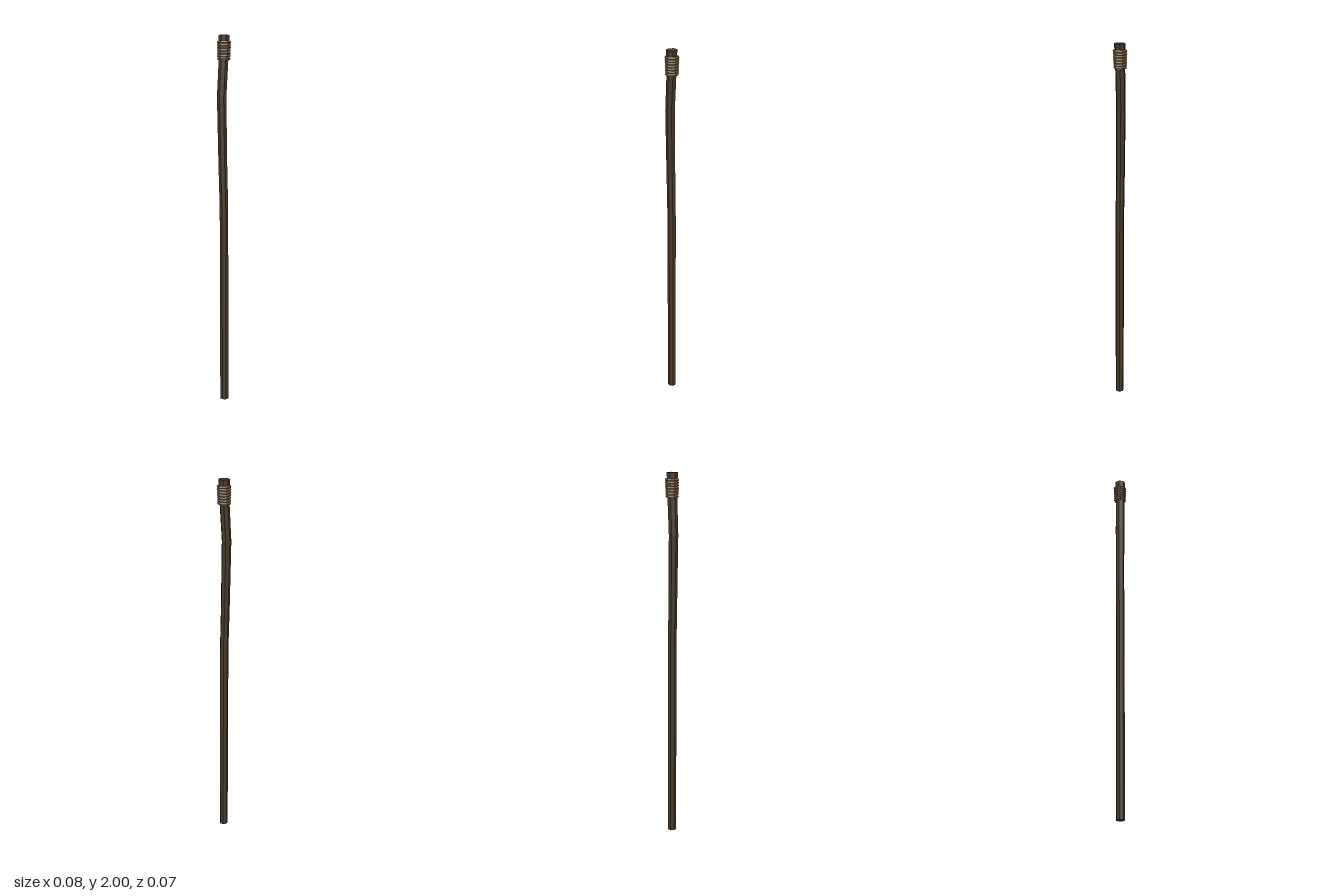
import * as THREE from 'three';

const wood = new THREE.MeshStandardMaterial({ color: 0x4a3829 });
wood.name = 'darkWood';
wood.flatShading = true;
const cord = new THREE.MeshStandardMaterial({ color: 0x8a6844 });
cord.name = 'cord';
cord.flatShading = true;

// Shaft cross-sections from the foot up: [y, centre x, centre z, radius]
const SECTIONS = [
  [0, 0.002, 0, 0.023],
  [0.55, 0.001, 0, 0.0235],
  [1.08, 0.0, 0, 0.0235],
  [1.32, -0.006, 0.001, 0.024],
  [1.68, -0.012, 0.003, 0.0255],
  [1.86, -0.003, 0, 0.026],
  [2, 0, 0, 0.03],
];

// A seven-sided cylinder whose rings follow the bent sections
function createShaft() {
  const geometry = new THREE.CylinderGeometry(1, 1, 1, 7, SECTIONS.length - 1);
  const p = geometry.attributes.position;
  for (let i = 0; i < p.count; i++) {
    const ring = Math.round((p.getY(i) + 0.5) * (SECTIONS.length - 1));
    const [y, cx, cz, r] = SECTIONS[ring];
    // negated x and z put a corner at the back
    p.setXYZ(i, cx - p.getX(i) * r, y, cz - p.getZ(i) * r);
  }
  geometry.computeVertexNormals();
  const shaft = new THREE.Mesh(geometry, wood);
  shaft.name = 'shaft';
  return shaft;
}

// Stacked six-sided loops of cord near the tip
function createBinding() {
  const binding = new THREE.Group();
  binding.name = 'binding';
  const turns = 7, tube = 0.0078;
  for (let i = 0; i < turns; i++) {
    const t = i / (turns - 1);
    const radius = 0.0275 + 0.0025 * t;
    const loop = new THREE.Mesh(new THREE.TorusGeometry(radius, tube, 6, 6), cord);
    loop.name = 'cordLoop';
    loop.rotation.x = Math.PI / 2;
    loop.position.set(-0.001 + 0.001 * t, 1.878 + 0.084 * t, -0.001);
    binding.add(loop);
  }
  return binding;
}

export function createModel() {
  const model = new THREE.Group();
  model.name = 'staff';
  model.add(createShaft(), createBinding());
  return model;
}
